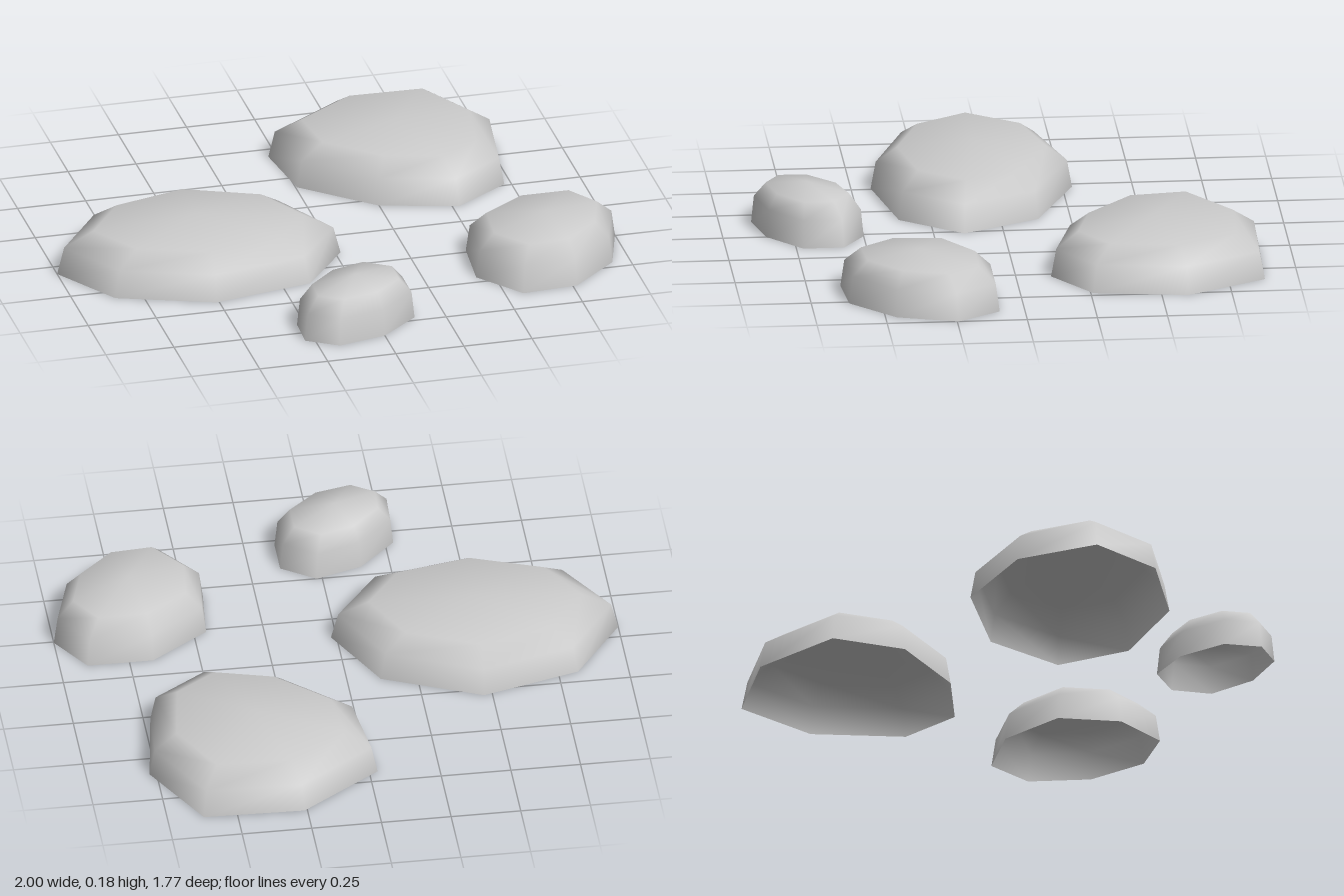
import * as THREE from 'three';

const material = new THREE.MeshStandardMaterial({ color: 0xcccccc, side: THREE.DoubleSide });

// Rings of every stone from the ground up: height and scale of the outline
const RINGS = [[0, 1], [0.1, 0.95], [0.155, 0.74]];
const TOP = 0.182;

// Ground outlines as [x, z], clockwise from above, with the crown position
const STONES = [
  { name: 'largeLeftStone', crown: [-0.49, 0.07], outline: [
    [-1, 0.06], [-0.82, -0.19], [-0.47, -0.285], [-0.12, -0.135],
    [0.02, 0.14], [-0.15, 0.36], [-0.51, 0.43], [-0.85, 0.305]] },
  { name: 'largeBackStone', crown: [0.39, -0.51], outline: [
    [-0.03, -0.69], [0.26, -0.89], [0.62, -0.88], [0.775, -0.595],
    [0.725, -0.26], [0.525, -0.125], [0.25, -0.2], [0.005, -0.42]] },
  { name: 'mediumRightStone', crown: [0.715, 0.36], outline: [
    [0.455, 0.235], [0.665, 0.09], [0.9, 0.09], [1, 0.245],
    [0.935, 0.46], [0.765, 0.615], [0.565, 0.63], [0.435, 0.46]] },
  { name: 'smallFrontStone', crown: [-0.07, 0.695], outline: [
    [-0.28, 0.68], [-0.145, 0.55], [0.02, 0.5], [0.14, 0.58],
    [0.14, 0.725], [0, 0.845], [-0.175, 0.885], [-0.285, 0.815]] },
];

// Low dome, open underneath: stacked rings closed by a fan at the crown
function stoneGeometry(outline, [cx, cz]) {
  const n = outline.length;
  const positions = [];
  const index = [];
  for (const [y, s] of RINGS) {
    for (const [x, z] of outline) positions.push(cx + (x - cx) * s, y, cz + (z - cz) * s);
  }
  positions.push(cx, TOP, cz);
  const apex = RINGS.length * n;
  for (let r = 0; r < RINGS.length; r++) {
    for (let i = 0; i < n; i++) {
      const a = r * n + i;
      const b = r * n + (i + 1) % n;
      if (r === RINGS.length - 1) index.push(a, apex, b);
      else index.push(a, a + n, b, b, a + n, b + n);
    }
  }
  const geometry = new THREE.BufferGeometry();
  geometry.setAttribute('position', new THREE.Float32BufferAttribute(positions, 3));
  geometry.setIndex(index);
  geometry.computeVertexNormals();
  return geometry;
}

export function createModel() {
  const group = new THREE.Group();
  group.name = 'steppingStones';
  for (const { name, crown, outline } of STONES) {
    const stone = new THREE.Mesh(stoneGeometry(outline, crown), material);
    stone.name = name;
    group.add(stone);
  }
  return group;
}
